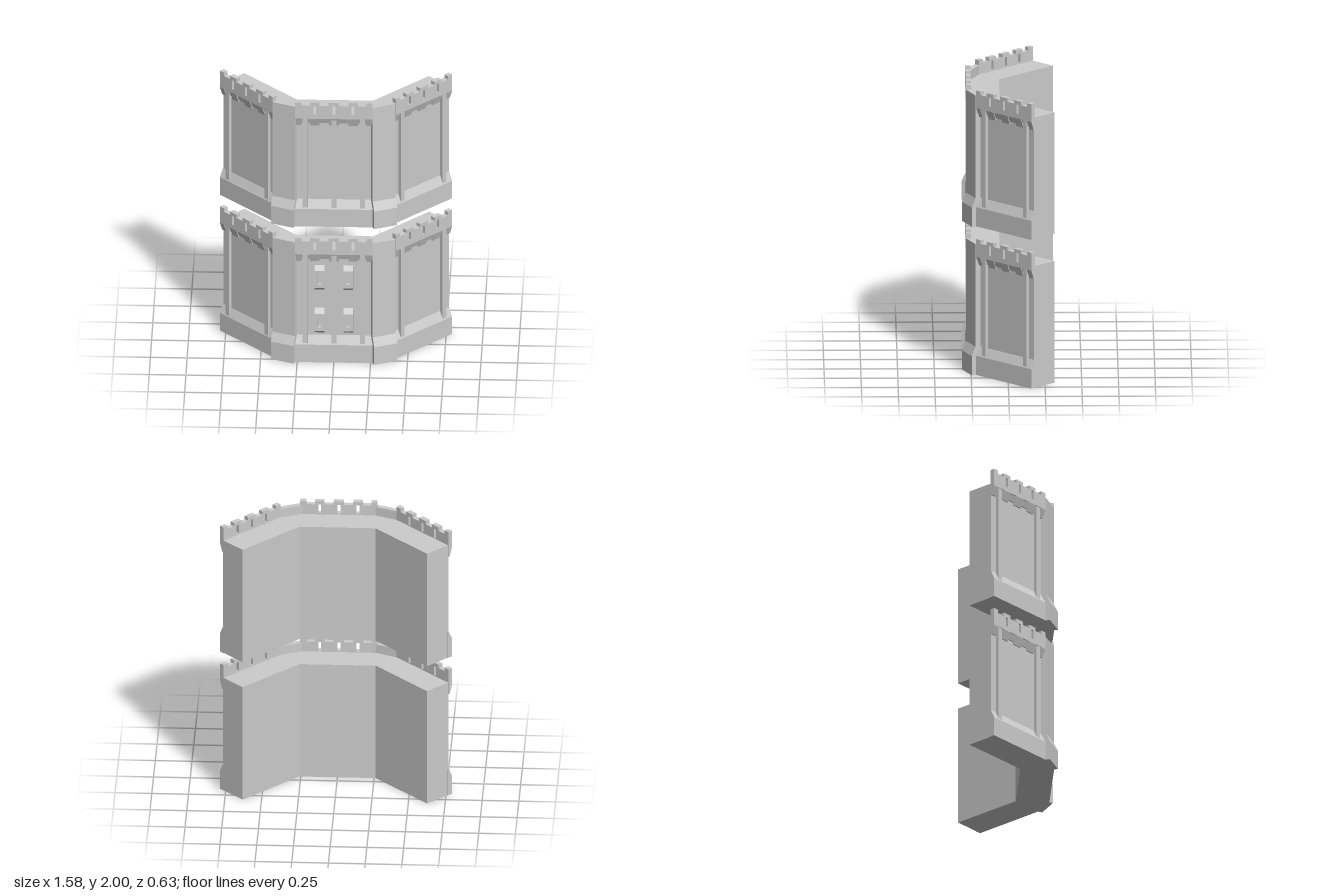
import * as THREE from 'three';

const mat = new THREE.MeshStandardMaterial({ color: 0xcccccc, flatShading: true });

const WIDTH = 0.526;      // length of one wall section
const RECESS = -0.03;     // wall face behind the front plane
const DECK = 0.855;       // walkway height
const TIER = 1.045;       // height of the second tier
// spans along a section that carry merlons above and corbels below
const SPANS = [[-0.263, -0.222], [-0.163, -0.098], [-0.035, 0.035], [0.098, 0.163], [0.222, 0.263]];
const SLITS = [-0.13, 0, 0.13];

function mesh(name, geometry, parent) {
  const m = new THREE.Mesh(geometry, mat);
  m.name = name;
  parent.add(m);
  return m;
}

const toShape = (pts) => new THREE.Shape(pts.map(([a, b]) => new THREE.Vector2(a, b)));

const rectPath = (x, y, w, h) => new THREE.Path([
  new THREE.Vector2(x - w / 2, y), new THREE.Vector2(x - w / 2, y + h),
  new THREE.Vector2(x + w / 2, y + h), new THREE.Vector2(x + w / 2, y),
]);

const extrude = (shape, depth) => new THREE.ExtrudeGeometry(shape, { depth, bevelEnabled: false });

// side profile of [z, y] points swept from x0 to x1
function sweep(pts, x0, x1) {
  return extrude(toShape(pts), x1 - x0).rotateY(-Math.PI / 2).translate(x1, 0, 0);
}

// solid core of a tier, bent in plan
function addCore(parent) {
  const half = [[0.26, 0.055], [0.628, -0.315], [0.768, -0.175], [0.4, 0.193], [0.26, 0.255]];
  const plan = [...half, ...half.map(([x, z]) => [-x, z]).reverse()];
  mesh('wallCore', extrude(toShape(plan), DECK).rotateX(Math.PI / 2).translate(0, DECK, 0), parent);
}

// parapet with merlons along the top and arrow slits
function addParapet(parent) {
  const low = 0.93, high = 0.955;
  const pts = [[-WIDTH / 2, 0.83], [WIDTH / 2, 0.83]];
  for (const [a, b] of [...SPANS].reverse()) {
    if (b < WIDTH / 2) pts.push([b, low]);
    pts.push([b, high], [a, high]);
    if (a > -WIDTH / 2) pts.push([a, low]);
  }
  const shape = toShape(pts);
  for (const x of SLITS) shape.holes.push(rectPath(x, 0.864, 0.02, 0.064));
  mesh('parapet', extrude(shape, 0.035).translate(0, 0, -0.035), parent);

  // sloping corbels, with a shorter band between them
  for (const [a, b] of SPANS) {
    mesh('corbel', sweep([[-0.035, 0.768], [-0.022, 0.768], [0, 0.83], [-0.035, 0.83]], a, b), parent);
  }
  mesh('corbelBand', sweep([[-0.035, 0.786], [-0.022, 0.786], [-0.006, 0.83], [-0.035, 0.83]],
    -WIDTH / 2, WIDTH / 2), parent);
}

// hooded loophole standing proud of the wall
function addLoophole(parent, x, y) {
  const g = new THREE.Group();
  g.name = 'loophole';
  g.position.set(x, y, RECESS);
  parent.add(g);
  const w = 0.033, d = 0.026;
  const frame = toShape([[-w, 0.02], [w, 0.02], [w, 0.15], [-w, 0.15]]);
  frame.holes.push(rectPath(0, 0.048, 0.024, 0.072));
  mesh('loopholeFrame', extrude(frame, d), g);
  mesh('loopholeHood', sweep([[0, 0.15], [d, 0.15], [0, 0.185]], -w, w), g);
  mesh('loopholeSill', sweep([[0, 0], [0.008, 0], [d, 0.02], [0, 0.02]], -w, w), g);
  // slim upright inside the opening
  mesh('loopholeBar', new THREE.BoxGeometry(0.01, 0.06, 0.014).translate(0, 0.084, 0.007), g);
}

// front dressing of one straight section; its front plane is local z = 0
function addFacade(parent, name, x, z, angle, columns) {
  const g = new THREE.Group();
  g.name = name;
  g.position.set(x, 0, z);
  g.rotation.y = angle;
  parent.add(g);
  mesh('plinth', sweep([[-0.04, 0], [0, 0], [0, 0.135], [RECESS, 0.198], [-0.04, 0.198]],
    -WIDTH / 2, WIDTH / 2), g);
  for (const cx of columns) {
    mesh('column', new THREE.BoxGeometry(0.034, 0.69, 0.034).translate(cx, 0.485, -0.021), g);
  }
  addParapet(g);
  return g;
}

// angled buttress covering the bend between two sections
function addButtress(parent, side) {
  const pts = [[-0.065, 0], [0, 0], [0, 0.135], [-0.028, 0.198], [-0.028, 0.92], [-0.065, 0.92]];
  const b = mesh('cornerButtress', sweep(pts, -0.084, 0.084), parent);
  b.position.set(side * 0.352, 0, 0.278);
  b.rotation.y = side * Math.PI / 8;
}

function makeTier(name, withLoopholes) {
  const tier = new THREE.Group();
  tier.name = name;
  addCore(tier);
  const centre = addFacade(tier, 'centreSection', 0, 0.285, 0, [-0.195, 0, 0.195]);
  for (const side of [-1, 1]) {
    addFacade(tier, side > 0 ? 'leftSection' : 'rightSection',
      side * 0.605, 0.03, side * Math.PI / 4, [-0.195, 0.195]);
    addButtress(tier, side);
    if (withLoopholes) for (const y of [0.22, 0.55]) addLoophole(centre, side * 0.098, y);
  }
  return tier;
}

export function createModel() {
  const model = new THREE.Group();
  model.name = 'fortressWalls';
  const lower = makeTier('lowerWall', true);
  const upper = makeTier('upperWall', false);
  upper.position.y = TIER;
  model.add(lower, upper);
  return model;
}
